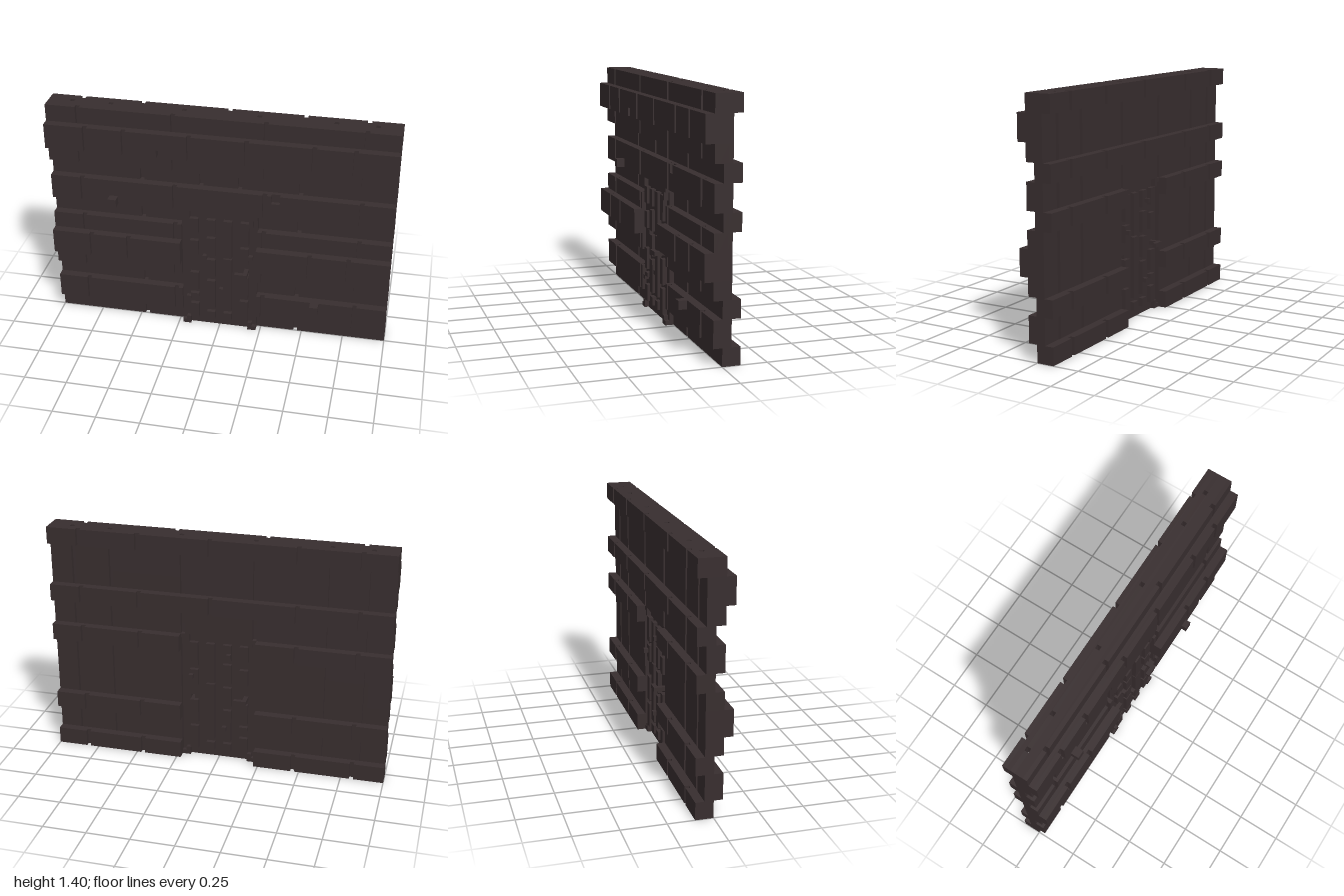
import * as THREE from 'three';
import { mergeGeometries } from 'three/addons/utils/BufferGeometryUtils.js';

const G = 0.025; // width and depth of a joint between blocks

// Box from its limits on each axis
function box(x0, x1, y0, y1, z0, z1) {
  return new THREE.BoxGeometry(x1 - x0, y1 - y0, z1 - z0)
    .translate((x0 + x1) / 2, (y0 + y1) / 2, (z0 + z1) / 2);
}

// Joints mirrored about x = 0, given by their outer edge
const joints = (...edges) => edges.flatMap(e => [[-e, -e + G], [e - G, e]]);

// One layer of a course: boxes filling [x0, x1] except for the joints
function layer(out, x0, x1, y0, y1, z0, z1, gaps) {
  let x = x0;
  for (const [a, b] of [...gaps].sort((p, q) => p[0] - q[0])) {
    if (b <= x0 || a >= x1) continue;
    if (a > x + 1e-6) out.push(box(x, a, y0, y1, z0, z1));
    x = Math.max(x, b);
  }
  if (x < x1 - 1e-6) out.push(box(x, x1, y0, y1, z0, z1));
}

const frontJoints = joints(0.825, 0.275);
const rearJoints = joints(0.875, 0.65, 0.225);
const proudFrontJoints = joints(0.775, 0.55, 0.175);
const proudRearJoints = [...joints(0.825, 0.475), [0.025, 0.05]];
const setBackJoints = joints(0.475, 0.125);

// Layers [z0, z1, joints] of each kind of course
const rear = [-0.05, -0.025, rearJoints];
const mid = [[0.025, 0.05, frontJoints], [-0.025, 0.025, []], rear];
const rearLedge = [[-0.075, -0.05, []], [-0.1, -0.075, proudRearJoints]];
const kinds = {
  mid,
  cap: [...mid, ...rearLedge],
  proud: [...mid, [0.05, 0.075, []], [0.075, 0.1, proudFrontJoints]],
  back: [[-0.025, 0, setBackJoints], rear, ...rearLedge],
};

// Courses from the ground up: bottom, top, kind
const courses = [
  [0, 0.1, 'back'], [0.1, 0.25, 'mid'], [0.25, 0.35, 'back'], [0.35, 0.45, 'mid'],
  [0.45, 0.6, 'proud'], [0.6, 0.7, 'mid'], [0.7, 0.8, 'back'], [0.8, 0.95, 'mid'],
  [0.95, 1.05, 'back'], [1.05, 1.15, 'mid'], [1.15, 1.3, 'proud'], [1.3, 1.4, 'cap'],
];

// Chipped corners: x0, x1, y0, y1, deepest z
const chips = [[-0.35, -0.3, 1.15, 1.2, 0.05], [0.3, 0.35, 0.9, 0.95, 0.025]];

export function createModel() {
  const model = new THREE.Group();
  const stone = new THREE.MeshStandardMaterial({ color: 0x382e2f });
  stone.name = 'dark stone';
  const add = (name, parts) => {
    const mesh = new THREE.Mesh(mergeGeometries(parts), stone);
    mesh.name = name;
    model.add(mesh);
  };

  // Wall courses, split on both sides of the doorway below the lintel
  courses.forEach(([y0, y1, kind], i) => {
    const parts = [];
    const spans = y1 <= 0.8 ? [[-1, -0.225], [0.225, 1]] : [[-1, 1]];
    const chip = chips.find(c => c[2] >= y0 - 1e-6 && c[3] <= y1 + 1e-6);
    for (const [x0, x1] of spans) {
      for (const [z0, z1, gaps] of kinds[kind]) {
        if (chip && z0 >= chip[4]) {
          layer(parts, x0, x1, y0, y1, z0, z1, [...gaps, [chip[0], chip[1]]]);
          if (chip[2] > y0 + 1e-6) parts.push(box(chip[0], chip[1], y0, chip[2], z0, z1));
          if (chip[3] < y1 - 1e-6) parts.push(box(chip[0], chip[1], chip[3], y1, z0, z1));
        } else layer(parts, x0, x1, y0, y1, z0, z1, gaps);
      }
    }
    add('wallCourse' + (i + 1), parts);
  });

  // Small stones standing out of the front
  add('wallStuds', [
    box(-0.65, -0.6, 0.8, 0.85, 0.05, 0.1),
    box(0.55, 0.6, 0.2, 0.25, 0.05, 0.1),
  ]);

  // Door slab around a small peephole
  add('doorSlab', [
    box(-0.225, 0.225, 0, 0.375, -G, G),
    box(-0.225, 0.15, 0.375, 0.4, -G, G),
    box(0.175, 0.225, 0.375, 0.4, -G, G),
    box(-0.225, 0.225, 0.4, 0.8, -G, G),
  ]);

  // Raised door slats, one column per list of [bottom, top]
  const slats = [
    [[0.05, 0.15], [0.2, 0.225], [0.25, 0.375], [0.5, 0.6], [0.65, 0.75]],
    [[0.05, 0.1], [0.125, 0.325], [0.35, 0.475], [0.5, 0.625], [0.65, 0.75]],
    [[0.05, 0.1], [0.125, 0.25], [0.25, 0.49], [0.5, 0.75]],
    [[0.05, 0.2], [0.225, 0.375], [0.475, 0.575], [0.6, 0.75]],
  ];
  const slatParts = [];
  slats.forEach((column, i) => {
    const x = -0.175 + i * 0.1;
    for (const [y0, y1] of column)
      for (const z of [-0.05, G]) slatParts.push(box(x, x + 0.05, y0, y1, z, z + G));
  });
  add('doorSlats', slatParts);

  // Small pegs beside the slats and brackets in the door corners
  const pegs = [];
  for (const [x, y, h] of [[-0.1, 0.475, 0.025], [0.175, 0.725, 0.025], [0.175, 0.5, 0.025],
    [0, 0.25, 0.025], [-0.2, 0.175, 0.025]]) pegs.push(box(x, x + G, y, y + h, G, 0.05));
  for (const [x, y] of [[0.15, 0.525], [-0.075, 0.675], [-0.05, 0.2]])
    pegs.push(box(x, x + G, y, y + G, -0.075, -G));
  add('doorPegs', pegs);

  const brackets = [];
  for (const s of [-1, 1])
    for (const [y, inner] of [[0, 0.025], [0.775, 0.75]])
      for (const z of [-0.05, G]) {
        const [a, b] = s < 0 ? [-0.225, -0.175] : [0.175, 0.225];
        const c = s < 0 ? -0.2 : 0.175;
        brackets.push(box(a, b, y, y + G, z, z + G), box(c, c + G, inner, inner + G, z, z + G));
      }
  add('doorBrackets', brackets);

  // Handles on both faces
  add('doorHandles', [
    box(0.1, 0.175, 0.4, 0.425, 0.075, 0.1), box(0.15, 0.175, 0.4, 0.425, G, 0.075),
    box(-0.175, -0.1, 0.4, 0.425, -0.1, -0.075), box(-0.175, -0.15, 0.4, 0.425, -0.075, -G),
  ]);
  return model;
}
